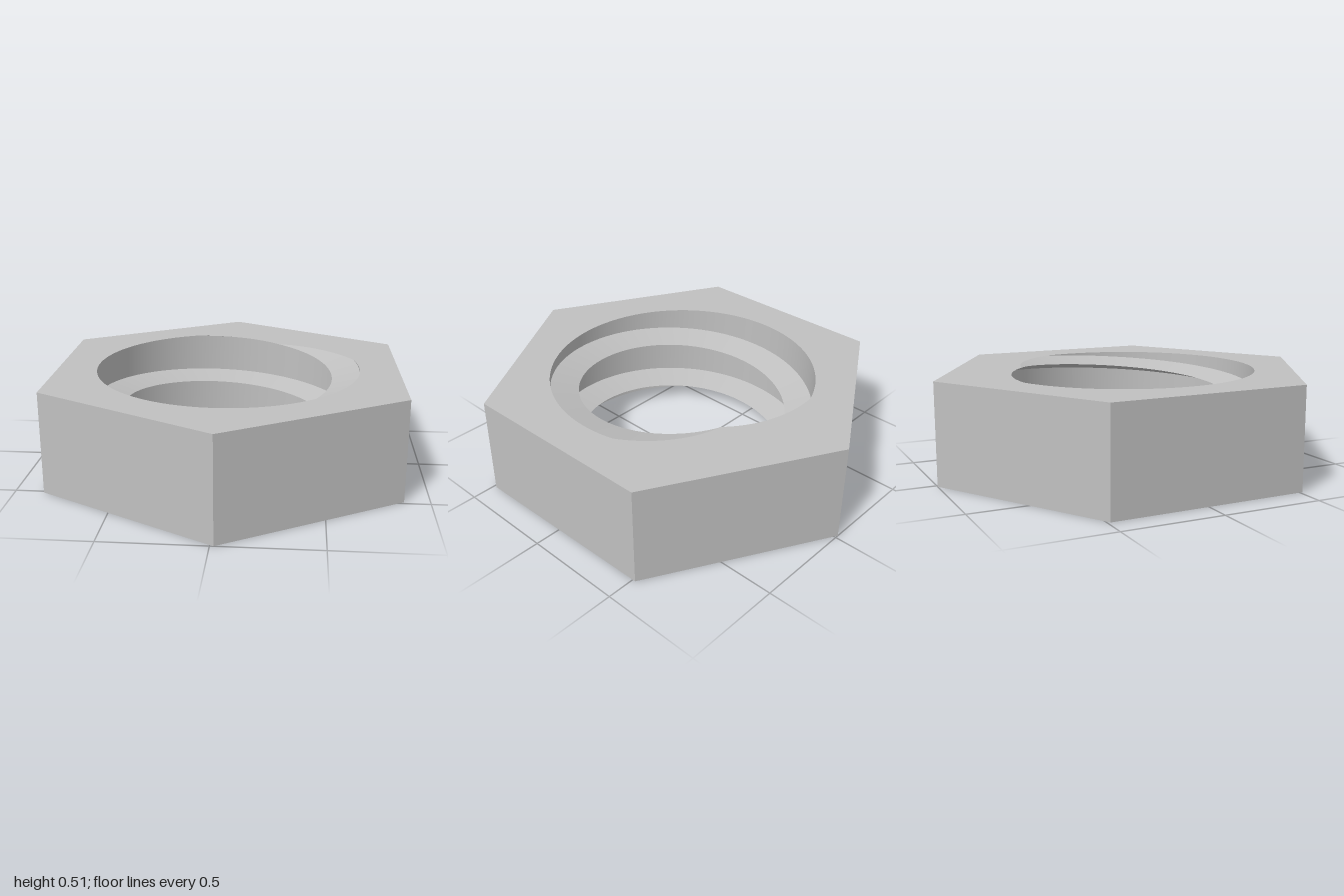
import * as THREE from 'three';
import { mergeGeometries } from 'three/addons/utils/BufferGeometryUtils.js';

const HEIGHT = 0.51, ROOT = 0.67, CREST = 0.53;   // nut height, thread radii
const PITCH = 0.271, FLANK = 0.036;               // thread rise per turn, half ridge width
const APEX_TOP = 63;                              // azimuth where the crest meets the top
const CORNER = 31;                                // azimuth of one hexagon corner

const rad = THREE.MathUtils.degToRad;
const clampY = (y) => Math.min(HEIGHT, Math.max(0, y));

// Azimuth runs anticlockwise seen from above; steps land on the hexagon corners
const turn = Array.from({ length: 181 }, (_, i) => 1 + 2 * i);

// Height of the helical crest of ridge k
const apexY = (a, k) => HEIGHT + PITCH * ((a - APEX_TOP) / 360 - k);

// Radius of the threaded bore at any azimuth and height
function boreRadius(a, y) {
  const t = (y - apexY(a, 0)) / PITCH;
  const distance = Math.abs(t - Math.round(t)) * PITCH;
  return ROOT - (ROOT - CREST) * Math.max(0, 1 - distance / FLANK);
}

// Radius of the hexagon at any azimuth
function hexRadius(a) {
  const local = (((a - CORNER) % 60) + 60) % 60;
  return Math.cos(rad(30)) / Math.cos(rad(local - 30));
}

// Rings give [radius, height] for an azimuth
const boreRing = (yAt) => (a) => {
  const y = clampY(yAt(a));
  return [boreRadius(a, y), y];
};
const hexRing = (y) => (a) => [hexRadius(a), y];

// Surface between two rings, facing outward when the first ring is the lower one
function strip(lower, upper, angles = turn) {
  const positions = [], index = [];
  angles.forEach((a, i) => {
    for (const ring of [lower, upper]) {
      const [r, y] = ring(a);
      positions.push(r * Math.cos(rad(a)), y, -r * Math.sin(rad(a)));
    }
    if (i === 0) return;
    const n = 2 * i;
    const open = (j) => Math.hypot(
      positions[3 * j] - positions[3 * j + 3],
      positions[3 * j + 1] - positions[3 * j + 4],
      positions[3 * j + 2] - positions[3 * j + 5]) > 1e-6;
    if (open(n)) index.push(n - 2, n, n + 1);
    if (open(n - 2)) index.push(n - 2, n + 1, n - 1);
  });
  const geometry = new THREE.BufferGeometry();
  geometry.setAttribute('position', new THREE.Float32BufferAttribute(positions, 3));
  geometry.setIndex(index);
  geometry.computeVertexNormals();
  return geometry;
}

export function createModel() {
  const steel = new THREE.MeshStandardMaterial({ color: 0xc0c0c0 });
  steel.name = 'steel grey';
  const nut = new THREE.Group();
  nut.name = 'hexNut';
  const add = (name, geometry) => {
    const mesh = new THREE.Mesh(geometry, steel);
    mesh.name = name;
    nut.add(mesh);
  };

  // Six flat sides
  const sides = [];
  for (let i = 0; i < 6; i++) {
    const start = CORNER + 60 * i;
    sides.push(strip(hexRing(0), hexRing(HEIGHT), [start, start + 60]));
  }
  add('hexSides', mergeGeometries(sides));

  // Flat faces between the hexagon and the bore
  const boreBottom = boreRing(() => 0), boreTop = boreRing(() => HEIGHT);
  add('topFace', strip(hexRing(HEIGHT), boreTop));
  add('bottomFace', strip(boreBottom, hexRing(0)));

  // Bore: root walls and ridge flanks, bottom to top, with sharp edges between
  const rings = [boreBottom];
  for (const k of [2, 1, 0]) {
    for (const offset of [-FLANK, 0, FLANK]) {
      rings.push(boreRing((a) => apexY(a, k) + offset));
    }
  }
  rings.push(boreTop);
  const bands = rings.slice(1).map((ring, i) => strip(ring, rings[i]));
  add('threadedBore', mergeGeometries(bands));

  return nut;
}
